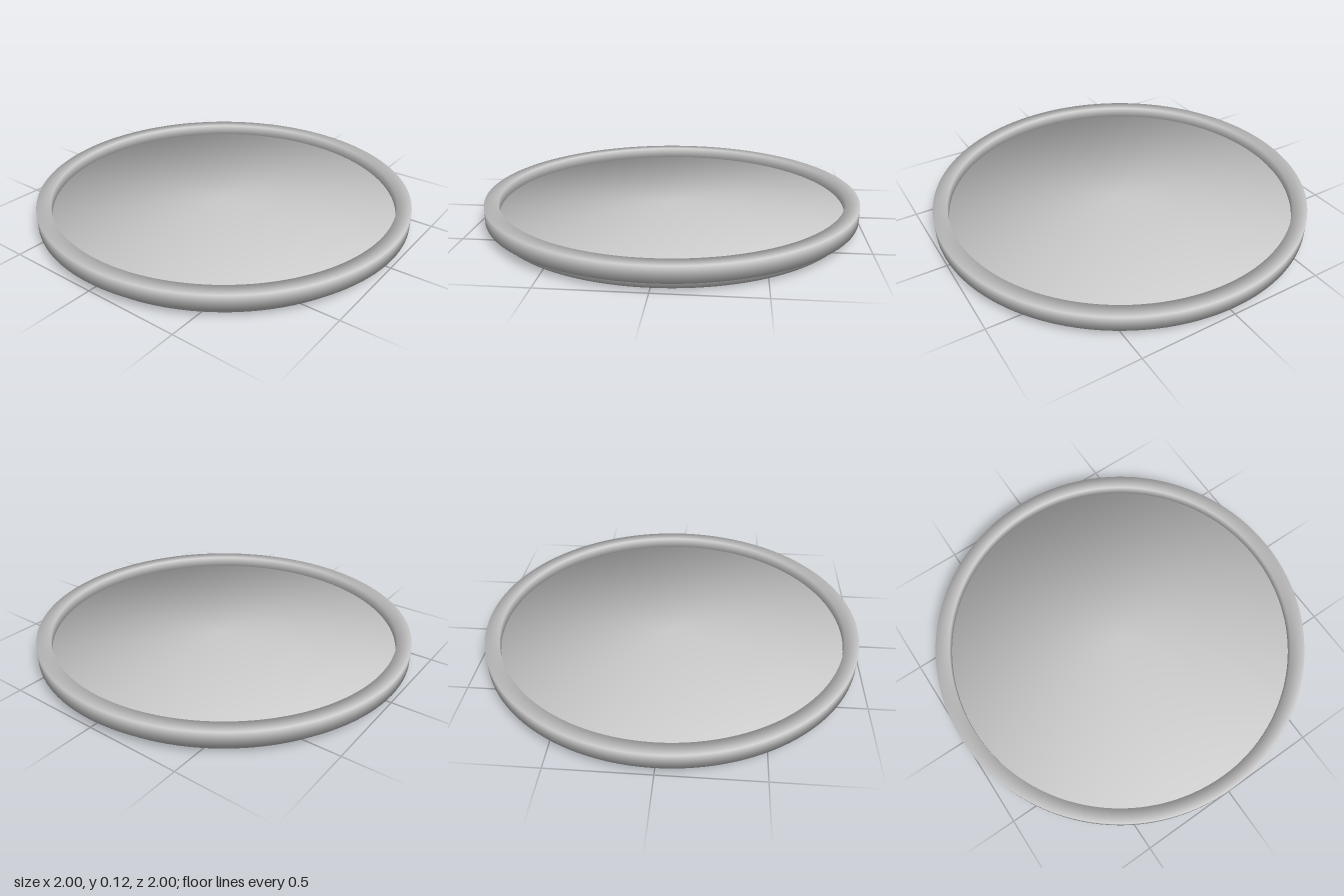
import * as THREE from 'three';

const SEGMENTS = 128;
const material = new THREE.MeshStandardMaterial({ color: 0xcccccc });

// Turned part whose corners are shaded smoothly, each normal pointing diagonally
// away from the middle (midR, midY) of the profile.
function turned(name, profile, midR, midY) {
  const geometry = new THREE.LatheGeometry(
    profile.map(([r, y]) => new THREE.Vector2(r, y)), SEGMENTS);
  const { position, normal } = geometry.attributes;
  const n = new THREE.Vector3();
  for (let i = 0; i < position.count; i++) {
    const x = position.getX(i), y = position.getY(i), z = position.getZ(i);
    const r = Math.hypot(x, z);
    const out = r > 0 ? Math.sign(r - midR) / r : 0;
    n.set(x * out, Math.sign(y - midY), z * out).normalize();
    normal.setXYZ(i, n.x, n.y, n.z);
  }
  const mesh = new THREE.Mesh(geometry, material);
  mesh.name = name;
  return mesh;
}

export function createModel() {
  const group = new THREE.Group();
  group.name = 'roundTray';

  // Flat disc forming the floor and the recessed foot
  const discR = 0.95, discTop = 0.065;
  group.add(turned('baseDisc',
    [[0, 0], [discR, 0], [discR, discTop], [0, discTop]], 0, discTop / 2));

  // Raised ring around the edge, square in section
  const inner = 0.925, outer = 1, low = 0.045, high = 0.125;
  group.add(turned('rim',
    [[inner, low], [outer, low], [outer, high], [inner, high], [inner, low]],
    (inner + outer) / 2, (low + high) / 2));

  return group;
}
